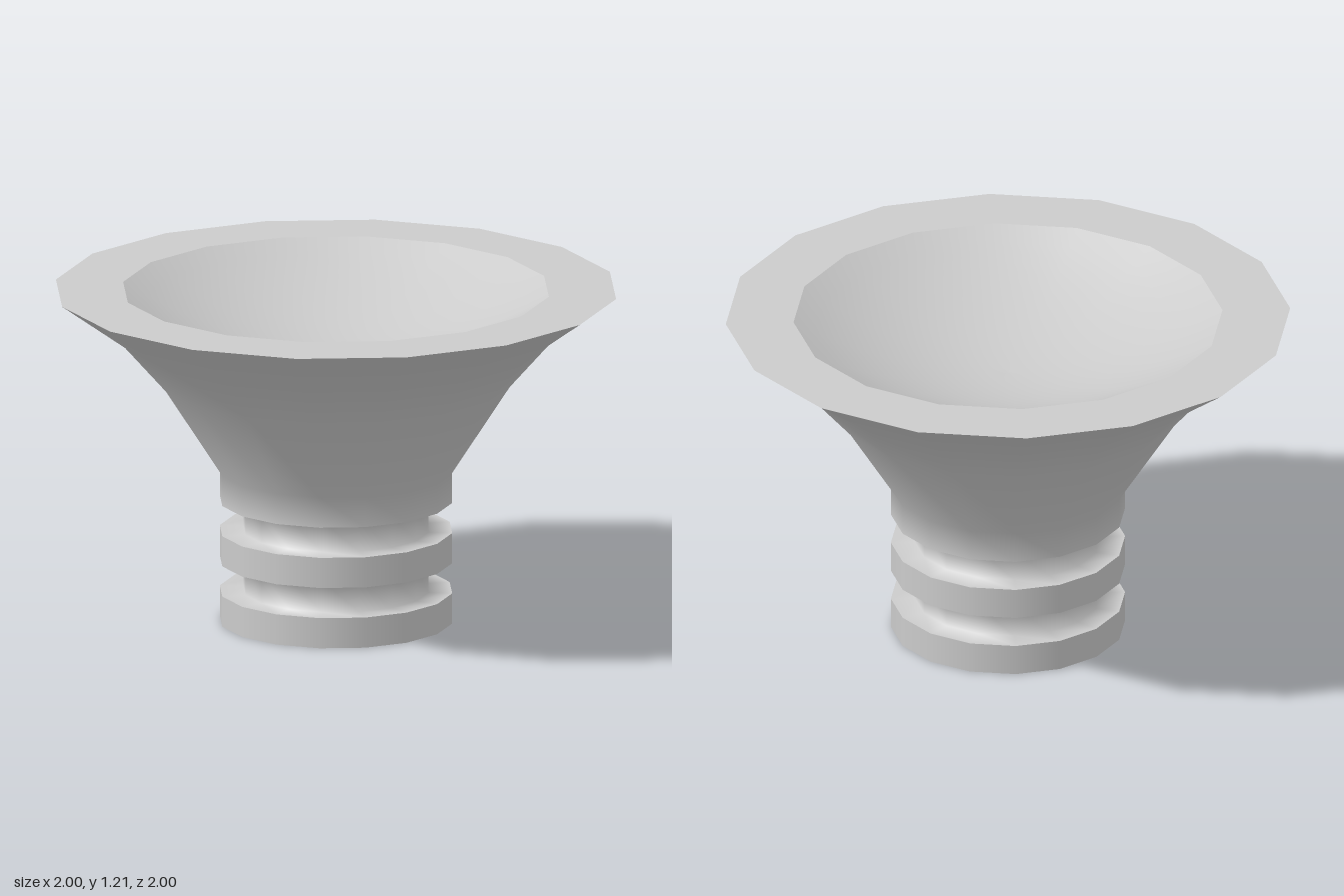
import * as THREE from 'three';

const SIDES = 16;

export function createModel() {
  const group = new THREE.Group();
  const material = new THREE.MeshStandardMaterial({ color: 0xcccccc });

  // Each band is its own lathe, so shading is smooth inside it and sharp at its ends.
  // Profiles run up the outside, across the rim and down into the bowl.
  const band = (name, points) => {
    const profile = points.map(([r, y]) => new THREE.Vector2(r, y));
    const mesh = new THREE.Mesh(new THREE.LatheGeometry(profile, SIDES), material);
    mesh.name = name;
    group.add(mesh);
  };

  const collar = 0.415, neck = 0.33, step = 0.11;

  // Flat underside
  band('baseDisc', [[0, 0], [collar, 0]]);

  // Two collars, each followed by a recessed groove with its ledges
  for (let i = 0; i < 2; i++) {
    const y = i * 2 * step;
    band('collarRing', [[collar, y], [collar, y + step]]);
    band('neckGroove', [
      [collar, y + step], [neck, y + step],
      [neck, y + 2 * step], [collar, y + 2 * step],
    ]);
  }

  // Flared outer body
  band('flaredBody', [[collar, 0.44], [collar, 0.55], [0.62, 0.87], [0.77, 1.04], [1, 1.205]]);

  // Flat top rim
  const bowlRadius = 0.76, top = 1.205, depth = 0.22;
  band('rim', [[1, top], [bowlRadius, top]]);

  // Shallow dished bowl
  const dish = [];
  for (let i = 0; i <= 10; i++) {
    const t = 1 - i / 10;
    dish.push([bowlRadius * t, top - depth * (1 - t * t)]);
  }
  band('bowl', dish);

  return group;
}
